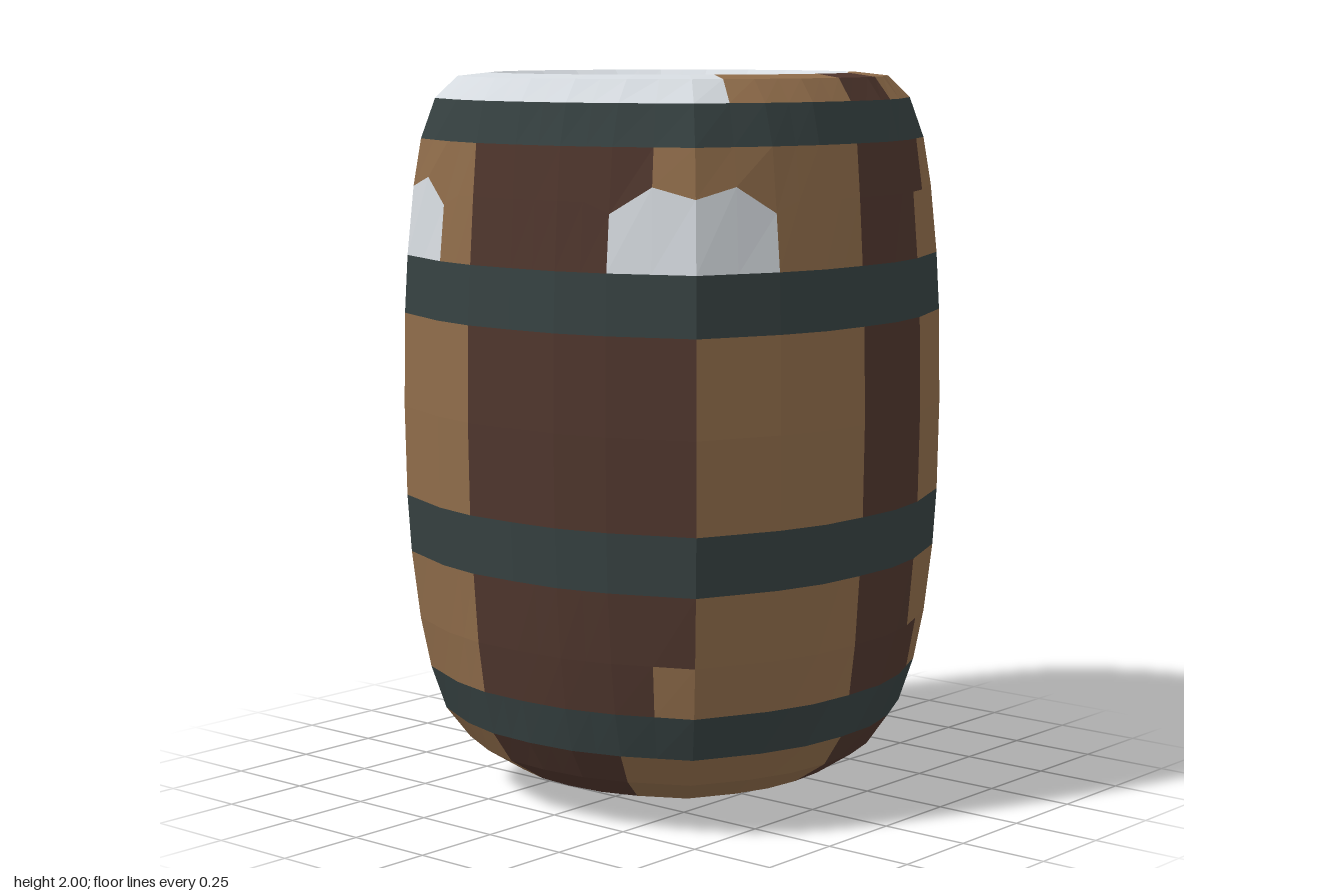
import * as THREE from 'three';

const mat = (name, color) => new THREE.MeshStandardMaterial({ name, color, flatShading: true });

// Half an edge of the rounded-square plan, from the middle of a side to its corner
const EIGHTH = [[0, 0.665], [0.155, 0.66], [0.305, 0.625], [0.53, 0.53]];
const COLS = 48;

// Plan point for an even column: quarter turns of the mirrored eighth
function planPoint(k, blend) {
  const i = ((k % 24) + 24) % 24;
  const side = Math.floor((i + 3) / 6);
  const j = i - side * 6; // -3..3 within a side
  const [u, w] = EIGHTH[Math.abs(j)];
  const a = side * Math.PI / 2, s = Math.sign(j) * u;
  const x = s * Math.cos(a) + w * Math.sin(a);
  const z = w * Math.cos(a) - s * Math.sin(a);
  const t = i * Math.PI / 12;
  return [
    THREE.MathUtils.lerp(Math.sin(t), x / 0.665, blend),
    THREE.MathUtils.lerp(Math.cos(t), z / 0.665, blend),
  ];
}

// Rings: height, radius, squareness (0 round, 1 rounded square)
const R = {
  base0: [0, 0, 0.3], base1: [0.006, 0.14, 0.4], base2: [0.03, 0.3, 0.45],
  base3: [0.07, 0.44, 0.5], base4: [0.135, 0.54, 0.55],
  hoop1a: [0.22, 0.595, 0.65], hoop1b: [0.34, 0.622, 0.8],
  low: [0.48, 0.64, 0.9],
  hoop2a: [0.67, 0.653, 1], hoop2b: [0.83, 0.662, 1],
  mid: [1.08, 0.666, 1],
  hoop3a: [1.34, 0.662, 1], hoop3b: [1.5, 0.654, 1],
  high: [1.68, 0.643, 0.92],
  hoop4a: [1.82, 0.632, 0.8], hoop4b: [1.93, 0.61, 0.6],
  rimOuter: [1.99, 0.57, 0.35], rimInner: [2, 0.5, 0.1],
  mouthTop: [1.95, 0.44, 0], mouthLow: [1.88, 0.385, 0],
  bowl1: [1.82, 0.335, 0], bowl2: [1.79, 0.2, 0], bowl3: [1.78, 0, 0],
};

// Jagged upper edge of the corner patches
const JAG = {};
for (const c of [6, 18, 30, 42]) {
  [-0.03, 0.04, 0.01, 0.04, -0.03].forEach((d, i) => {
    if (c !== 18 || i >= 2) JAG[c - 2 + i] = d;
  });
}

function vertex(name, col) {
  const [y, r, blend] = R[name];
  const a = planPoint(Math.floor(col / 2), blend), b = planPoint(Math.ceil(col / 2), blend);
  const jag = name === 'high' ? JAG[((col % COLS) + COLS) % COLS] || 0 : 0;
  return [r * (a[0] + b[0]) / 2, y + jag, r * (a[1] + b[1]) / 2];
}

// Panel of the shell between the named rings, over a set of column ranges
function panel(group, name, material, rings, ranges) {
  const pos = [];
  for (const [c0, c1] of ranges) {
    for (let c = c0; c < c1; c++) {
      for (let i = 0; i + 1 < rings.length; i++) {
        const p = vertex(rings[i], c), q = vertex(rings[i], c + 1);
        const s = vertex(rings[i + 1], c + 1), t = vertex(rings[i + 1], c);
        if (R[rings[i]][1] > 0) pos.push(...p, ...q, ...s);
        if (R[rings[i + 1]][1] > 0) pos.push(...p, ...s, ...t);
      }
    }
  }
  const geo = new THREE.BufferGeometry();
  geo.setAttribute('position', new THREE.Float32BufferAttribute(pos, 3));
  geo.computeVertexNormals();
  const mesh = new THREE.Mesh(geo, material);
  mesh.name = name;
  group.add(mesh);
}

// Column ranges left over between the given sorted ranges
const others = (ranges) => ranges.map(([, end], i) =>
  [end, i + 1 < ranges.length ? ranges[i + 1][0] : ranges[0][0] + COLS]);

export function createModel() {
  const group = new THREE.Group();
  group.name = 'barrel';
  const light = mat('light wood', 0x8f6c4a);
  const dark = mat('dark wood', 0x4f362d);
  const iron = mat('hoop iron', 0x364141);
  const snow = mat('pale rim', 0xd6dbe0);
  const ALL = [[0, COLS]];

  const wood = (name, rings, lightRanges) => {
    panel(group, name + 'LightStaves', light, rings, lightRanges);
    panel(group, name + 'DarkStaves', dark, rings, others(lightRanges));
  };

  // Rounded base and staves, with the seams stepping sideways near the ends
  const straight = [[6, 12], [16, 18], [32, 46]];
  const stepped = [[5, 12], [17, 19], [31, 46]];
  wood('base', ['base0', 'base1', 'base2', 'base3', 'base4', 'hoop1a'], [[4, 12], [17, 19], [31, 46]]);
  wood('lower', ['hoop1b', 'low'], stepped);
  wood('lowerMiddle', ['low', 'hoop2a'], straight);
  wood('middle', ['hoop2b', 'mid', 'hoop3a'], straight);
  wood('upper', ['high', 'hoop4a'], stepped);

  // Row holding the pale corner patches
  const row = ['hoop3b', 'high'];
  panel(group, 'cornerPatches', snow, row, [[4, 8], [18, 20], [28, 32], [40, 44]]);
  panel(group, 'patchRowLightStaves', light, row, [[8, 12], [16, 18], [32, 40], [44, 46]]);
  panel(group, 'patchRowDarkStaves', dark, row, [[12, 16], [20, 28], [46, 52]]);

  // Hoops
  for (let i = 1; i <= 4; i++) panel(group, 'hoop' + i, iron, [`hoop${i}a`, `hoop${i}b`], ALL);

  // Rim, bare wood on one side
  const rim = ['hoop4b', 'rimOuter', 'rimInner', 'mouthTop'];
  panel(group, 'paleRim', snow, rim, [[19, 55]]);
  panel(group, 'bareRimLight', light, rim, [[7, 12], [15, 19]]);
  panel(group, 'bareRimDark', dark, rim, [[12, 15]]);

  // Mouth hoop and sunken lid
  panel(group, 'mouthHoop', iron, ['mouthTop', 'mouthLow'], ALL);
  const stained = [[-2, 4], [12, 16], [20, 23], [25, 34]];
  panel(group, 'lidEdgeDark', dark, ['mouthLow', 'bowl1'], stained);
  panel(group, 'lidEdgeLight', light, ['mouthLow', 'bowl1'], others(stained));
  panel(group, 'lid', light, ['bowl1', 'bowl2', 'bowl3'], ALL);
  return group;
}
